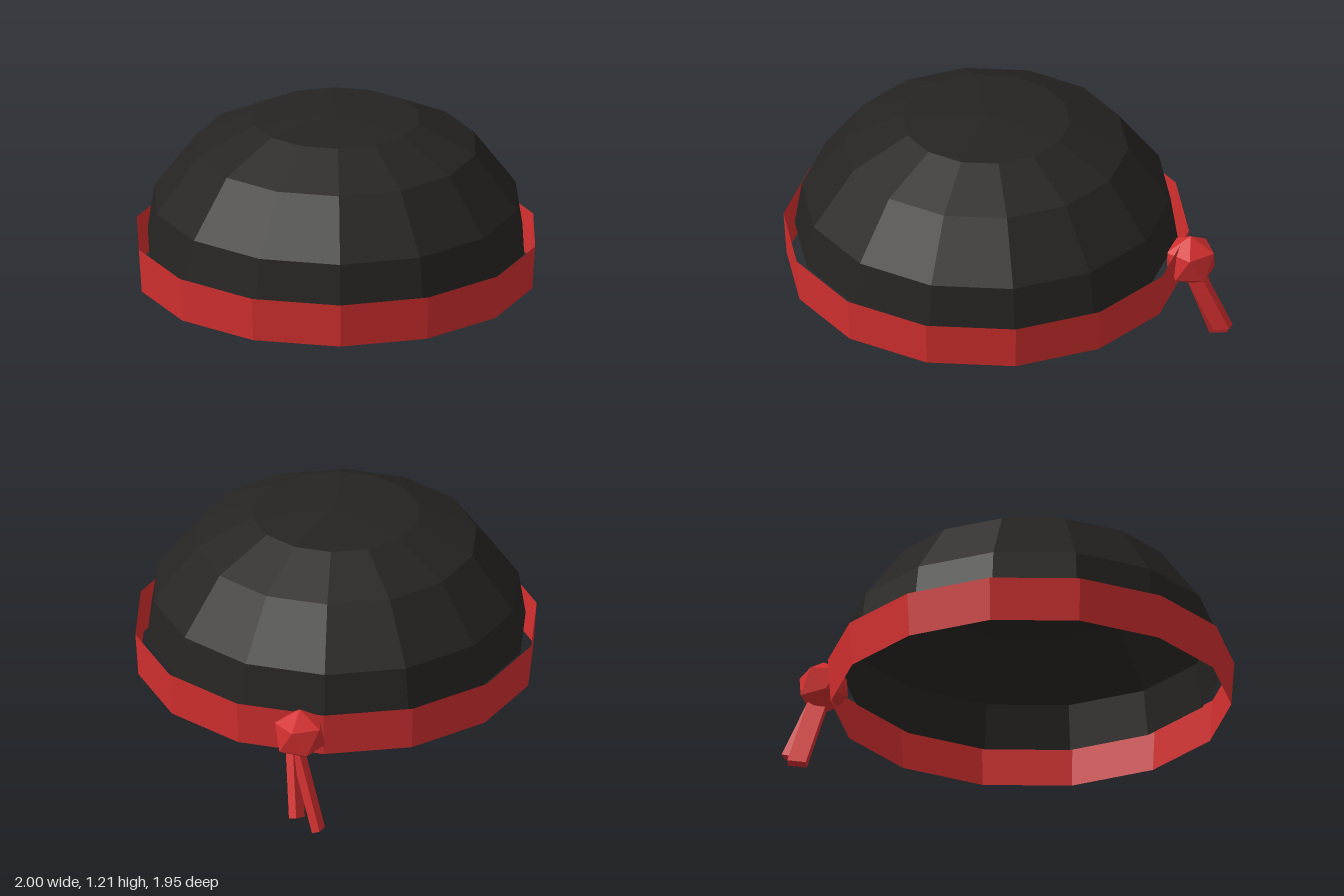
import * as THREE from 'three';

const SIDES = 14;

function material(color) {
  return new THREE.MeshStandardMaterial({ color, flatShading: true, side: THREE.DoubleSide });
}

export function createModel() {
  const group = new THREE.Group();
  const black = material(0x262422);
  const red = material(0xd32f2f);

  const add = (name, geometry, mat, parent = group) => {
    const mesh = new THREE.Mesh(geometry, mat);
    mesh.name = name;
    parent.add(mesh);
    return mesh;
  };

  // Open faceted dome, with a corner on the x axis
  const profile = [[0.945, 0.53], [0.91, 0.757], [0.7, 1.037], [0.415, 1.177], [0, 1.21]]
    .map(([r, y]) => new THREE.Vector2(r, y));
  add('capDome', new THREE.LatheGeometry(profile, SIDES, Math.PI / 2), black);

  // Slightly flared thin band around the rim
  const bandGeometry = new THREE.CylinderGeometry(1, 0.985, 0.223, SIDES, 1, true, Math.PI / 2);
  add('headBand', bandGeometry, red).position.y = 0.4665;

  // Knot with one corner pointing straight up
  const tie = new THREE.Group();
  tie.name = 'bandTie';
  group.add(tie);
  const knot = new THREE.IcosahedronGeometry(0.137, 0);
  knot.rotateX(-Math.atan2(1 + Math.sqrt(5), 2));
  knot.rotateY(-Math.PI / 2);
  add('knot', knot, red, tie).position.set(0.725, 0.482, -0.723);

  // Hanging ribbon tails: a flat box from start to end, its width along "wide"
  const addTail = (name, start, end, wide) => {
    const a = new THREE.Vector3(...start);
    const b = new THREE.Vector3(...end);
    const up = a.clone().sub(b);
    const length = up.length();
    up.normalize();
    const across = new THREE.Vector3(...wide);
    across.addScaledVector(up, -across.dot(up)).normalize();
    const thick = across.clone().cross(up);
    const tail = add(name, new THREE.BoxGeometry(0.095, length, 0.04), red, tie);
    tail.quaternion.setFromRotationMatrix(new THREE.Matrix4().makeBasis(across, up, thick));
    tail.position.copy(a).add(b).multiplyScalar(0.5);
  };
  addTail('shortTail', [0.755, 0.45, -0.71], [0.828, 0.1, -0.845], [0.8, 0.3, -0.4]);
  addTail('longTail', [0.75, 0.45, -0.72], [0.73, 0.02, -0.89], [0.75, 0.18, -0.6]);

  return group;
}
